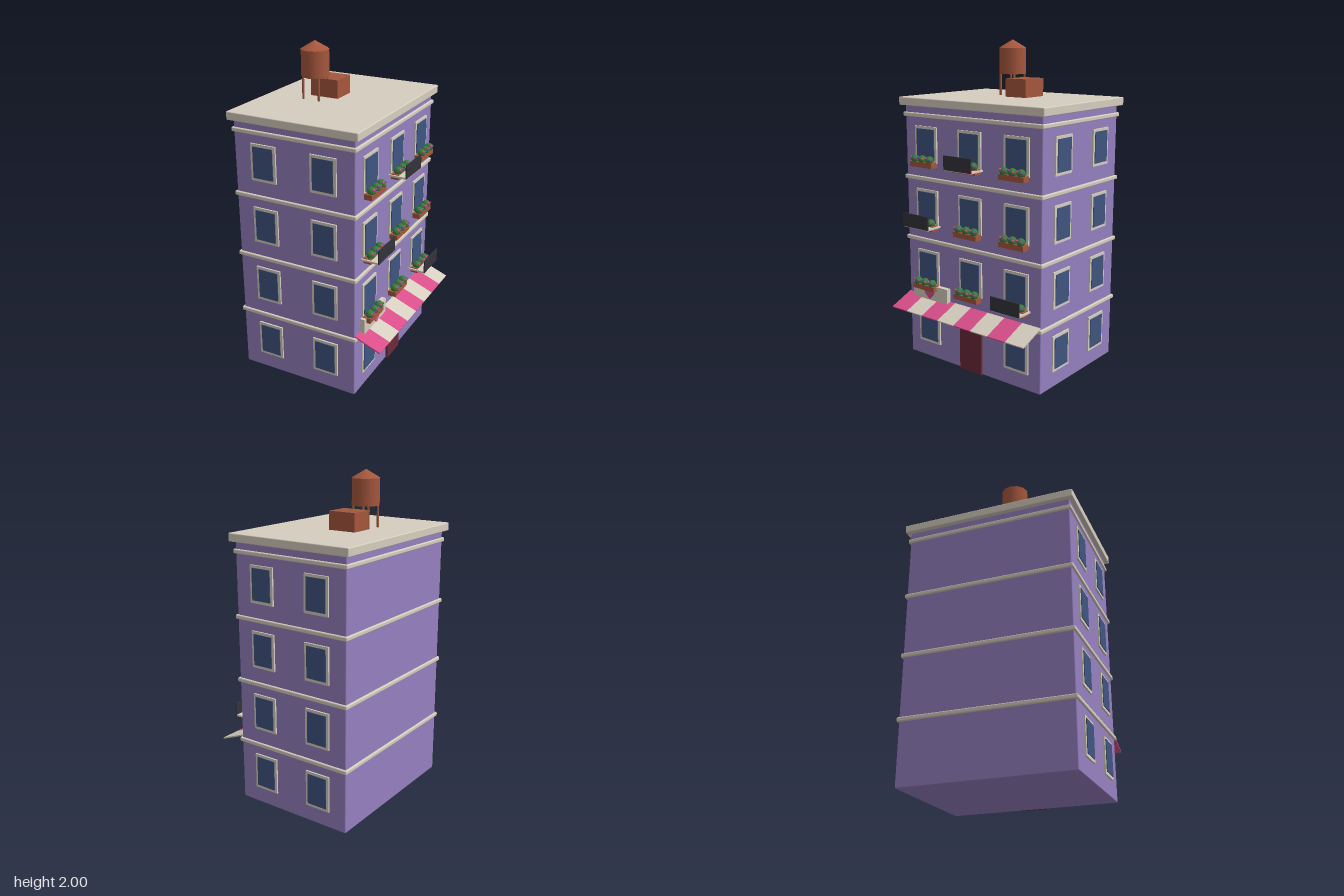
import * as THREE from 'three';
import { RoundedBoxGeometry } from 'three/addons/geometries/RoundedBoxGeometry.js';

const mat = (name, color) => new THREE.MeshStandardMaterial({ name, color });
const M = {
  wall: mat('lavender wall', 0x9580c0),
  stone: mat('pale stone', 0xd6cebf),
  glass: mat('window blue', 0x3f5580),
  clay: mat('terracotta', 0xa5573d),
  door: mat('maroon', 0x6b2a38),
  iron: mat('dark iron', 0x33333a),
  pink: mat('pink', 0xd94f8a),
  leaf: mat('leaf green', 0x3a7d3c),
  violet: mat('violet', 0x8a4fb0),
};

function add(parent, name, geometry, material, x, y, z) {
  const mesh = new THREE.Mesh(geometry, material);
  mesh.name = name;
  mesh.position.set(x, y, z);
  parent.add(mesh);
  return mesh;
}
const box = (w, h, d) => new THREE.BoxGeometry(w, h, d);
const group = (parent, name, x = 0, y = 0, z = 0, turn = 0) => {
  const g = new THREE.Group();
  g.name = name;
  g.position.set(x, y, z);
  g.rotation.y = turn;
  parent.add(g);
  return g;
};

const CX = -0.07, W = 0.77, D = 1.035;
const FLOORS = [0, 1, 2, 3].map((i) => 0.213 + 0.389 * i);

// Surround plate with a raised pane, facing local +z
function addWindow(parent, x, y, w) {
  const g = group(parent, 'window', x, y, 0);
  add(g, 'windowFrame', box(w, 0.222, 0.012), M.stone, 0, 0, 0.004);
  add(g, 'windowPane', box(w - 0.033, 0.188, 0.009), M.glass, 0, 0.001, 0.01);
}

// Window box with three bushes and small blossoms
function addPlanter(parent, x, y) {
  const g = group(parent, 'planter', x, y, 0);
  add(g, 'planterBox', box(0.178, 0.032, 0.05), M.clay, 0, -0.117, 0.035);
  const bush = new THREE.IcosahedronGeometry(0.026, 1);
  const bloom = new THREE.IcosahedronGeometry(0.008, 1);
  [-0.06, 0, 0.06].forEach((bx, i) => {
    add(g, 'bush', bush, M.leaf, bx, -0.086, 0.042);
    add(g, 'blossom', bloom, i === 1 ? M.violet : M.pink, bx - 0.014, -0.074, 0.06);
    add(g, 'blossom', bloom, i === 1 ? M.pink : M.violet, bx + 0.016, -0.08, 0.06);
  });
}

function addBalcony(parent, x, y) {
  const g = group(parent, 'balcony', x, y, 0);
  add(g, 'balconyFloor', box(0.2, 0.011, 0.112), M.stone, 0, -0.111, 0.056);
  add(g, 'balconyRail', box(0.208, 0.085, 0.007), M.iron, 0, -0.07, 0.112);
}

function heartGeometry() {
  const s = new THREE.Shape();
  s.moveTo(0, -0.04);
  s.bezierCurveTo(-0.012, -0.022, -0.042, -0.008, -0.041, 0.016);
  s.bezierCurveTo(-0.04, 0.044, -0.006, 0.042, 0, 0.018);
  s.bezierCurveTo(0.006, 0.042, 0.04, 0.044, 0.041, 0.016);
  s.bezierCurveTo(0.042, -0.008, 0.012, -0.022, 0, -0.04);
  return new THREE.ExtrudeGeometry(s, { depth: 0.012, bevelEnabled: false, curveSegments: 8 });
}

export function createModel() {
  const root = new THREE.Group();
  root.name = 'apartmentBuilding';

  // Walls, floor bands and roof slab
  add(root, 'walls', new RoundedBoxGeometry(W, 1.62, D, 2, 0.006), M.wall, CX, 0.81, 0);
  for (const y of [0.388, 0.777, 1.167, 1.555]) {
    add(root, 'floorBand', new RoundedBoxGeometry(W + 0.024, 0.026, D + 0.024, 2, 0.007), M.stone, CX, y, 0);
  }
  add(root, 'roofSlab', new RoundedBoxGeometry(0.83, 0.05, 1.09, 2, 0.006), M.stone, CX, 1.635, 0);

  // Front and back faces: two windows on each floor
  for (const side of [1, -1]) {
    const face = group(root, side > 0 ? 'frontFace' : 'backFace', CX, 0, side * D / 2, side > 0 ? 0 : Math.PI);
    for (const y of FLOORS) for (const x of [-0.192, 0.192]) addWindow(face, x, y, 0.164);
  }

  // Street face on +x: windows, planters, and one balcony on each upper floor
  const street = group(root, 'streetFace', 0.315, 0, 0, Math.PI / 2);
  const balconyColumn = [-1, 2, 0, 1];
  FLOORS.forEach((y, f) => {
    [-0.345, 0, 0.345].forEach((x, c) => {
      if (f === 0 && c === 1) return;
      addWindow(street, x, y, 0.175);
      if (f > 0) addPlanter(street, x, y);
      if (balconyColumn[f] === c) addBalcony(street, x, y);
    });
  });
  add(street, 'door', box(0.17, 0.3, 0.02), M.door, 0, 0.15, 0.004);

  // Sloping striped awning
  const awning = group(street, 'awning', 0, 0.379, 0.083);
  awning.rotation.x = Math.atan2(0.063, 0.16);
  for (let i = 0; i < 8; i++) {
    add(awning, 'awningStripe', box(0.1295, 0.008, 0.174), i % 2 ? M.stone : M.pink, (i - 3.5) * 0.1295, 0, 0);
  }

  // Sign board with a heart
  add(street, 'signBoard', box(0.285, 0.1, 0.03), M.stone, -0.312, 0.448, 0.018);
  add(street, 'signHeart', heartGeometry(), M.pink, -0.312, 0.452, 0.032);

  // Roof shed and water tank
  add(root, 'roofShed', box(0.18, 0.115, 0.155), M.clay, -0.145, 1.7125, -0.0455);
  const tank = group(root, 'waterTank', -0.18, 0, 0.072);
  add(tank, 'tankBarrel', new THREE.CylinderGeometry(0.082, 0.082, 0.16, 12), M.clay, 0, 1.872, 0);
  add(tank, 'tankRoof', new THREE.ConeGeometry(0.085, 0.05, 12), M.clay, 0, 1.975, 0);
  for (const x of [-0.052, 0.052]) for (const z of [-0.053, 0.053]) {
    add(tank, 'tankLeg', new THREE.CylinderGeometry(0.007, 0.007, 0.15, 8), M.clay, x, 1.73, z);
  }
  return root;
}
